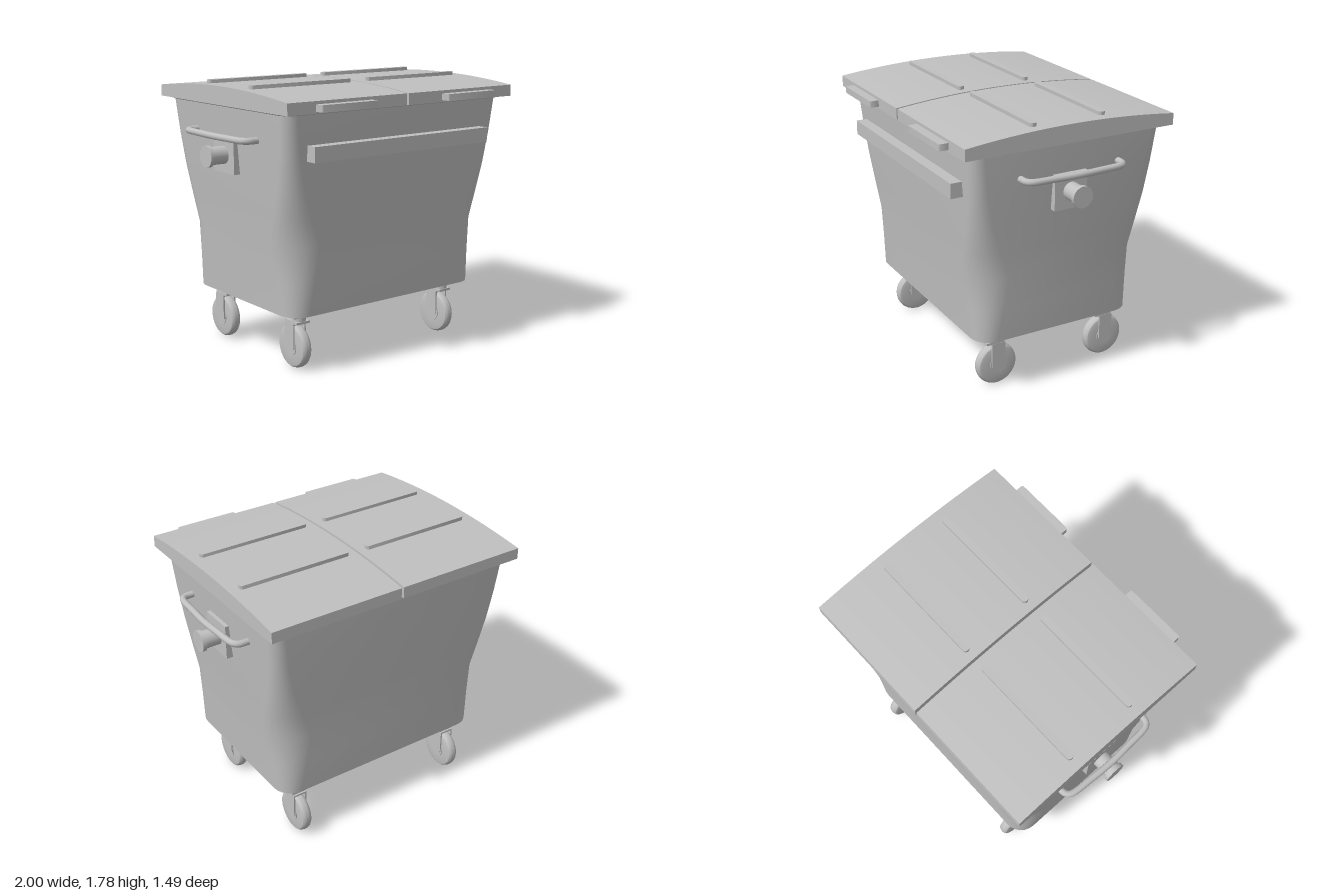
import * as THREE from 'three';
import { toCreasedNormals } from 'three/addons/utils/BufferGeometryUtils.js';

const grey = new THREE.MeshStandardMaterial({ color: 0xc0c0c0 });
grey.name = 'grey';

function add(parent, name, geometry, x = 0, y = 0, z = 0) {
  const mesh = new THREE.Mesh(geometry, grey);
  mesh.name = name;
  mesh.position.set(x, y, z);
  parent.add(mesh);
  return mesh;
}

const box = (w, h, d) => new THREE.BoxGeometry(w, h, d);
const rod = (r, length) => new THREE.CylinderGeometry(r, r, length, 32).rotateZ(Math.PI / 2);

// Rectangle outline with rounded corners, counter-clockwise seen from above
function ring(y, hx, back, front, r) {
  const points = [];
  const corners = [[hx - r, front - r], [hx - r, back + r], [r - hx, back + r], [r - hx, front - r]];
  corners.forEach(([cx, cz], i) => {
    for (let k = 0; k <= 6; k++) {
      const a = (i - 1 + k / 6) * Math.PI / 2;
      points.push([cx + r * Math.cos(a), y, cz - r * Math.sin(a)]);
    }
  });
  return points;
}

// Skin stacked rings, closing the bottom and the top
function loft(rings) {
  const n = rings[0].length;
  const index = [];
  for (let j = 0; j < rings.length - 1; j++) {
    for (let i = 0; i < n; i++) {
      const a = j * n + i, b = j * n + (i + 1) % n;
      index.push(a, b, b + n, a, b + n, a + n);
    }
  }
  const top = (rings.length - 1) * n;
  for (let i = 1; i < n - 1; i++) {
    index.push(0, i + 1, i, top, top + i, top + i + 1);
  }
  const g = new THREE.BufferGeometry();
  g.setAttribute('position', new THREE.Float32BufferAttribute(rings.flat(2), 3));
  g.setIndex(index);
  return toCreasedNormals(g, 0.5);
}

// Tapered tub: the corner radius swells at about a third of its height
function bodyGeometry() {
  const levels = [[0.38, 0.125], [0.6, 0.175], [0.82, 0.215], [1.0, 0.165], [1.2, 0.115], [1.4, 0.09], [1.63, 0.08]];
  const rings = levels.map(([y, r]) => {
    const t = (y - 0.38) / 1.25;
    return ring(y, 0.76 + 0.1 * t, -0.6 - 0.095 * t, 0.52 + 0.095 * t, r);
  });
  rings.push(ring(1.638, 0.88, -0.725, 0.65, 0.09), ring(1.655, 0.88, -0.725, 0.65, 0.09));
  return loft(rings);
}

// Arched lid half, its profile drawn in z and y and extruded along x
function lidGeometry() {
  const s = new THREE.Shape();
  s.moveTo(-0.683, 1.643);
  s.lineTo(0.747, 1.643);
  s.lineTo(0.747, 1.716);
  s.quadraticCurveTo(0.032, 1.802, -0.683, 1.716);
  s.closePath();
  const g = new THREE.ExtrudeGeometry(s, { depth: 0.892, bevelEnabled: false, curveSegments: 20 });
  g.translate(0, 0, -0.446).rotateY(Math.PI / 2);
  return toCreasedNormals(g, 0.5);
}

// Flat bar along x whose outline has rounded corners
function ribGeometry(length, width, height, r) {
  const h = length / 2 - r, v = width / 2 - r;
  const s = new THREE.Shape();
  s.absarc(h, -v, r, -Math.PI / 2, 0, false);
  s.absarc(h, v, r, 0, Math.PI / 2, false);
  s.absarc(-h, v, r, Math.PI / 2, Math.PI, false);
  s.absarc(-h, -v, r, Math.PI, Math.PI * 1.5, false);
  s.closePath();
  const g = new THREE.ExtrudeGeometry(s, { depth: height, bevelEnabled: false, curveSegments: 6 });
  return toCreasedNormals(g.rotateX(-Math.PI / 2), 0.6);
}

function tyreGeometry() {
  const profile = [[0.05, -0.035], [0.115, -0.035], [0.128, -0.031], [0.136, -0.022], [0.14, -0.008],
    [0.14, 0.008], [0.136, 0.022], [0.128, 0.031], [0.115, 0.035], [0.05, 0.035]];
  const g = new THREE.LatheGeometry(profile.map(([r, y]) => new THREE.Vector2(r, y)), 40);
  return toCreasedNormals(g.rotateZ(Math.PI / 2), 0.5);
}

function caster(x, z) {
  const g = new THREE.Group();
  g.name = 'caster';
  g.position.set(x, 0, z);
  add(g, 'tyre', tyreGeometry(), 0, 0.14, 0);
  add(g, 'hub', rod(0.058, 0.08), 0, 0.14, 0);
  for (const side of [-1, 1]) add(g, 'forkArm', box(0.01, 0.167, 0.095), side * 0.043, 0.214, 0);
  add(g, 'forkCrown', box(0.096, 0.012, 0.095), 0, 0.292, 0);
  add(g, 'swivelDisc', box(0.1, 0.016, 0.125), 0, 0.308, 0.025);
  add(g, 'swivelNeck', new THREE.CylinderGeometry(0.045, 0.045, 0.06, 28), 0, 0.34, 0.04);
  add(g, 'mountingPlate', box(0.19, 0.025, 0.165), 0, 0.369, 0.04);
  return g;
}

// Carrying bar, lifting pin and their plate on one side
function sideFittings(side) {
  const g = new THREE.Group();
  g.name = side > 0 ? 'leftFittings' : 'rightFittings';
  add(g, 'pinPlate', box(0.05, 0.225, 0.225), side * 0.845, 1.333, -0.04);
  add(g, 'liftingPin', rod(0.056, 0.12), side * 0.92, 1.333, -0.042);
  add(g, 'pinCap', rod(0.068, 0.026), side * 0.987, 1.333, -0.042);
  const points = [[0.84, -0.385], [0.905, -0.38], [0.93, -0.355], [0.945, -0.2], [0.952, -0.04],
    [0.945, 0.1], [0.93, 0.265], [0.905, 0.29], [0.84, 0.295]];
  const path = new THREE.CatmullRomCurve3(points.map(([x, z]) => new THREE.Vector3(side * x, 1.458, z)));
  add(g, 'handle', new THREE.TubeGeometry(path, 40, 0.021, 12, false));
  return g;
}

export function createModel() {
  const model = new THREE.Group();
  model.name = 'wheeledContainer';
  add(model, 'body', bodyGeometry());
  add(model, 'frontBar', box(1.4, 0.095, 0.1), 0, 1.402, 0.624);

  for (const side of [-1, 1]) {
    // Lid half with its ribs and front grip
    const lid = new THREE.Group();
    lid.name = side > 0 ? 'leftLid' : 'rightLid';
    add(lid, 'lidPanel', lidGeometry(), side * 0.454, 0, 0);
    for (const z of [-0.276, 0.197]) add(lid, 'lidRib', ribGeometry(0.765, 0.046, 0.045, 0.0225), side * 0.448, 1.732, z);
    add(lid, 'lidGrip', ribGeometry(0.415, 0.085, 0.042, 0.012), side * 0.492, 1.655, 0.7);
    model.add(lid, sideFittings(side));
    for (const z of [0.325, -0.485]) model.add(caster(side * 0.602, z));
  }
  return model;
}
